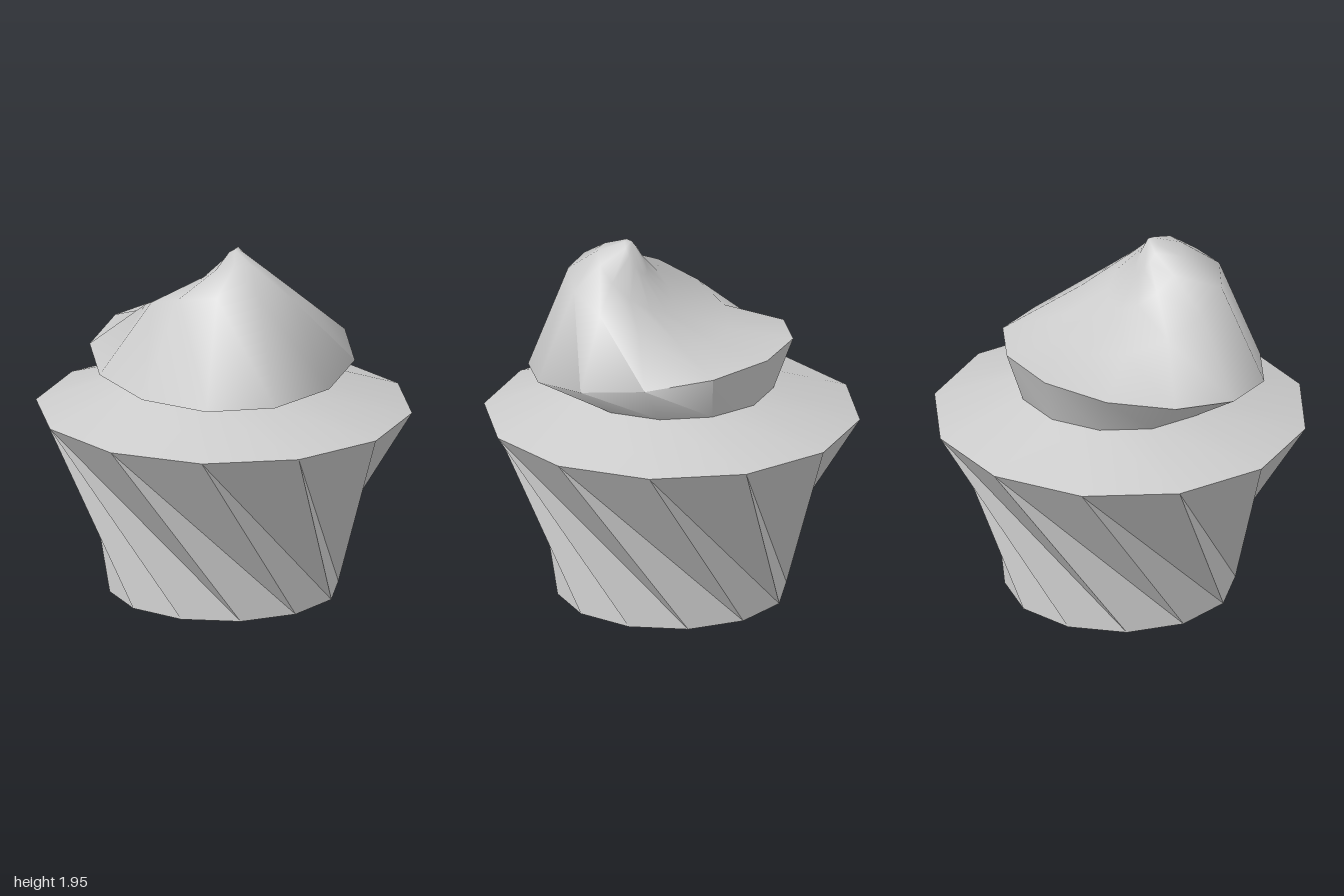
import * as THREE from 'three';
import { toCreasedNormals } from 'three/addons/utils/BufferGeometryUtils.js';

const SIDES = 12;

// Skin over 12-sided rings. Each ring: centre x, z, radius r, height y,
// turn (degrees), and a tilt that raises it by tilt * cos(angle + 40 degrees).
function loft(rings) {
  const pos = [], index = [];
  for (const { x = 0, z = 0, r, y, turn = 0, tilt = 0 } of rings) {
    for (let j = 0; j < SIDES; j++) {
      const t = (j / SIDES) * Math.PI * 2 + THREE.MathUtils.degToRad(turn);
      const lift = tilt * Math.cos(t + THREE.MathUtils.degToRad(40));
      pos.push(x + r * Math.cos(t), y + lift, z + r * Math.sin(t));
    }
  }
  for (let i = 0; i < rings.length - 1; i++) {
    for (let j = 0; j < SIDES; j++) {
      const k = (j + 1) % SIDES;
      const a = i * SIDES + j, b = i * SIDES + k, c = a + SIDES, d = b + SIDES;
      if (rings[i + 1].r > 0) index.push(a, c, d);
      if (rings[i].r > 0) index.push(a, d, b);
    }
  }
  const geo = new THREE.BufferGeometry();
  geo.setAttribute('position', new THREE.Float32BufferAttribute(pos, 3));
  geo.setIndex(index);
  geo.computeVertexNormals();
  return geo;
}

function addMesh(group, name, geometry, flatShading) {
  const material = new THREE.MeshStandardMaterial({ color: 0xcccccc, flatShading });
  const mesh = new THREE.Mesh(geometry, material);
  mesh.name = name;
  group.add(mesh);
}

export function createModel() {
  const group = new THREE.Group();
  group.name = 'cupcake';

  // Twisted paper cup with a closed bottom
  addMesh(group, 'paperCup', loft([
    { r: 0, y: 0, turn: -45 },
    { r: 0.61, y: 0, turn: -45 },
    { r: 1, y: 1 },
  ]), true);

  // Frosting: skirt, narrow neck, tilted overhanging rim, off-centre peak
  const frosting = loft([
    { r: 1, y: 1 },
    { r: 0.54, y: 1.16 },
    { x: -0.065, z: 0.037, r: 0.705, y: 1.325, tilt: 0.11 },
    { x: -0.1, z: 0.09, r: 0.43, y: 1.62, tilt: -0.16 },
    { x: -0.1, z: 0.17, r: 0.2, y: 1.75, tilt: -0.15 },
    { x: -0.11, z: 0.16, r: 0.06, y: 1.86, tilt: -0.09 },
    { x: -0.115, z: 0.18, r: 0, y: 1.95 },
  ]);
  addMesh(group, 'frosting', toCreasedNormals(frosting, 1.4), false);

  return group;
}
